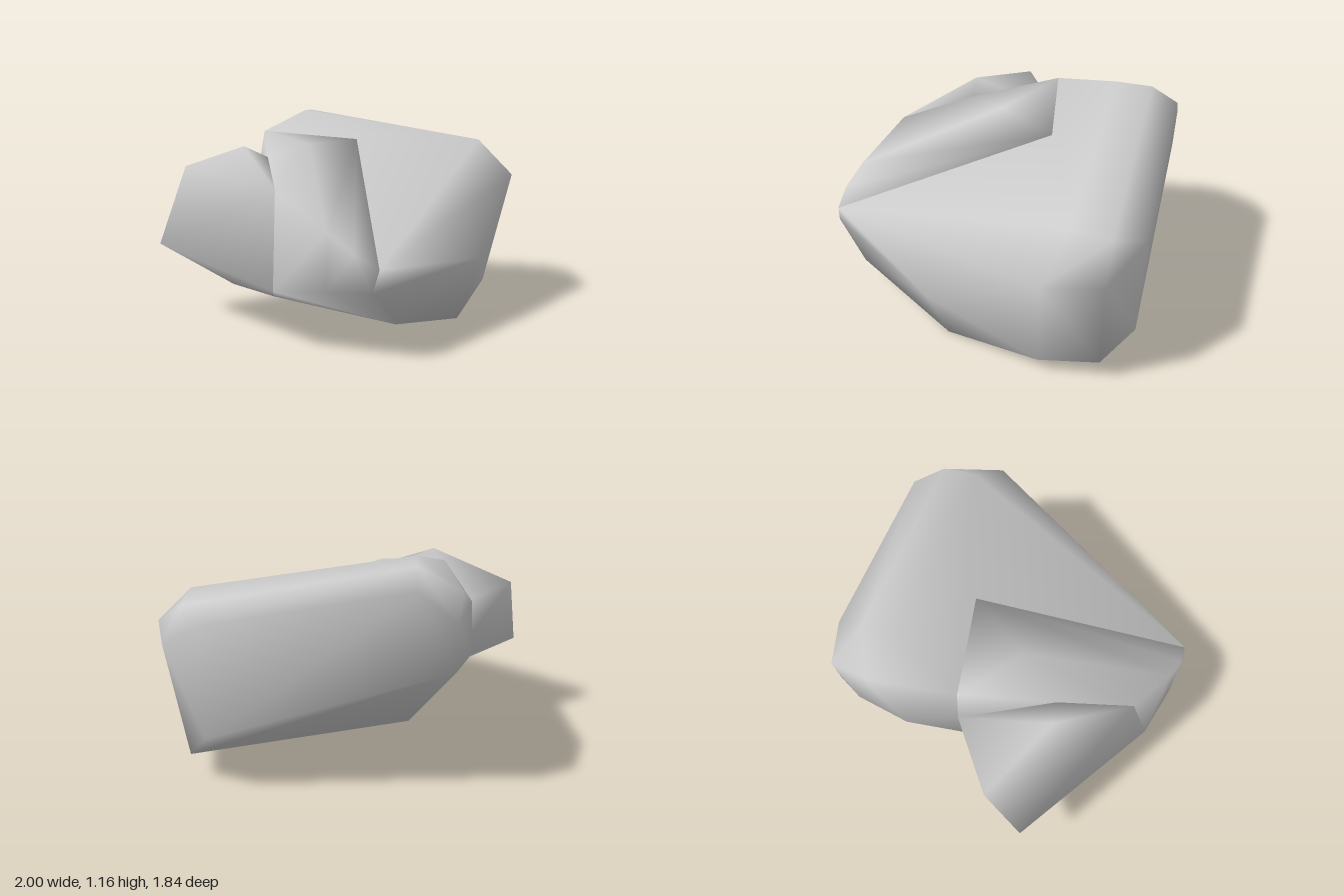
import * as THREE from 'three';
import { ConvexGeometry } from 'three/addons/geometries/ConvexGeometry.js';
import { mergeVertices } from 'three/addons/utils/BufferGeometryUtils.js';

// Smooth-shaded faceted boulder from a few corner points
function boulder(name, corners) {
  const hull = new ConvexGeometry(corners.map(c => new THREE.Vector3(...c)));
  hull.deleteAttribute('normal');
  const geometry = mergeVertices(hull, 1e-4);
  geometry.computeVertexNormals();
  const mesh = new THREE.Mesh(geometry, new THREE.MeshStandardMaterial({ color: 0xcccccc }));
  mesh.name = name;
  return mesh;
}

export function createModel() {
  const group = new THREE.Group();
  group.name = 'rock';

  // Corners shared by neighbouring masses
  const browTop = [-0.2, 0.79, 0.69];
  const browTip = [0.36, 0.45, 0.9];
  const noseTip = [0.33, 0.34, 0.92];
  const noseSide = [-0.18, 0.3, 0.82];
  const noseBase = [0.42, 0.14, 0.73];
  const shoulder = [-0.51, 1.04, -0.2];
  const saddle = [-0.35, 0.92, 0.29];
  const belly = [[-0.25, 0.2, 0.55], [-0.33, 0.17, 0.1]];
  const notch = [[-0.56, 0.77, -0.2], [-0.56, 0.45, -0.2]];

  // Main mass with its sloping top
  group.add(boulder('mainRock', [
    browTip, noseTip, noseBase, shoulder, ...belly, ...notch,
    // top plateau
    [-0.34, 1.16, -0.57], [-0.34, 1.16, -0.77], [-0.34, 1.08, -0.92],
    [0.79, 0.98, -0.57], [0.79, 0.95, -0.77], [0.68, 0.9, -0.92],
    // +x flank
    [1, 0.77, -0.48], [0.9, 0.75, -0.77], [0.82, 0.37, 0.17],
    [0.84, 0.1, -0.45], [0.8, 0.14, -0.77], [0.68, 0.31, -0.92],
    // underside
    [0.7, 0, 0.1], [-0.33, 0.17, -0.4],
    // -x flank
    [-0.57, 1.01, -0.68], [-0.62, 0.94, -0.6], [-0.65, 0.67, -0.48], [-0.61, 0.72, -0.77],
    [-0.53, 0.69, -0.92], [-0.53, 0.93, -0.92],
  ]));

  // Raised hump running from the plateau down into the nose
  group.add(boulder('frontHump', [
    shoulder, [0.05, 0.99, -0.3], [-0.17, 0.98, 0.05], saddle, ...notch, browTop,
    [0.1, 0.61, 0.85], [0.24, 0.52, 0.9], browTip,
    noseSide, [0.1, 0.33, 0.89], noseTip, noseBase, ...belly,
  ]));

  // Spur jutting out at the front on the -x side
  group.add(boulder('sideSpur', [
    browTop, noseSide, saddle, ...belly, ...notch,
    [-0.92, 0.84, 0.08], [-0.48, 0.98, 0.31], [-1, 0.41, 0.3], [-0.47, 0.26, 0.56],
  ]));

  return group;
}
